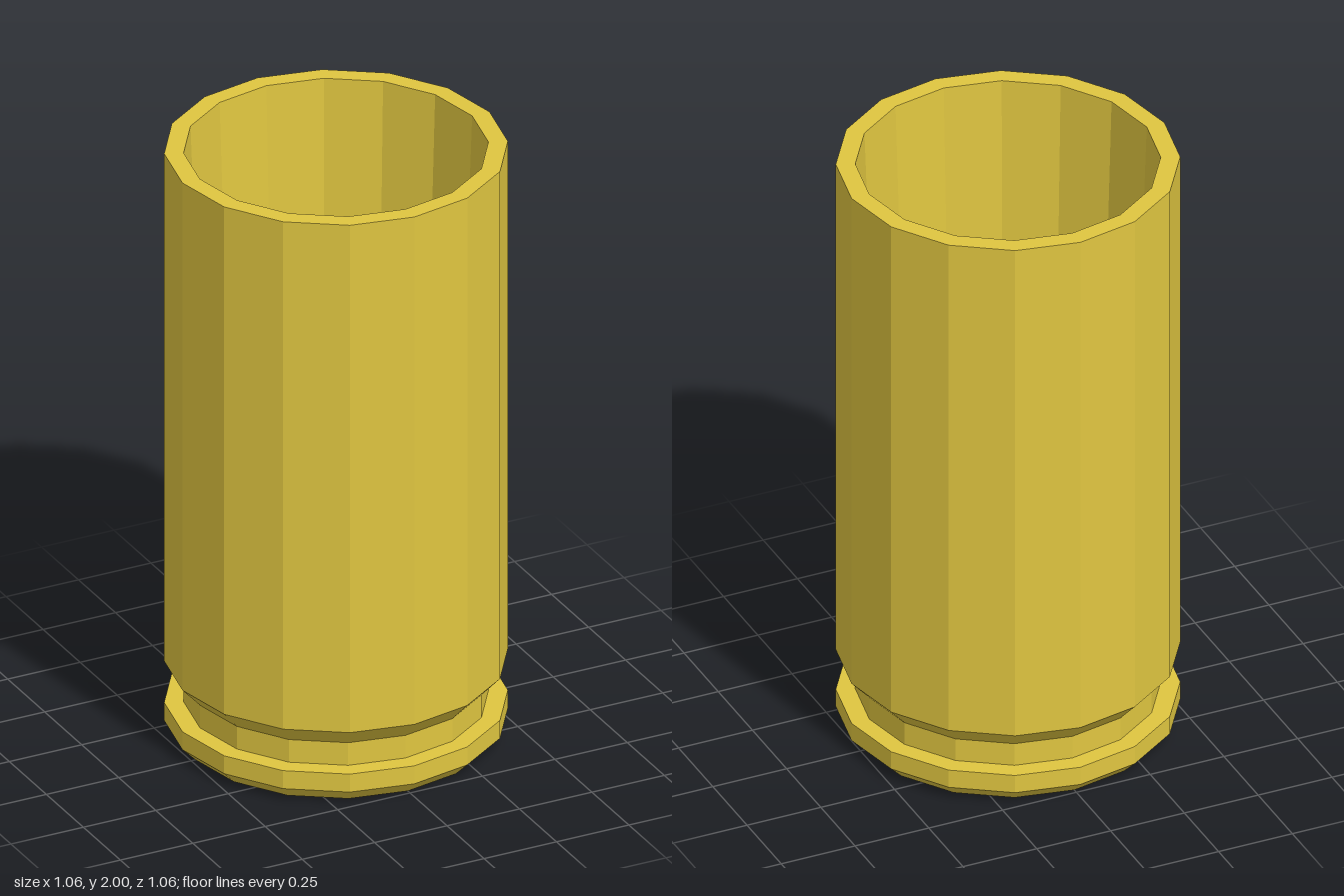
import * as THREE from 'three';

const SIDES = 16;

// Faceted turned part from [radius, height] pairs, listed from the underside outward and up
function turned(name, profile, color) {
  const points = profile.map(([r, y]) => new THREE.Vector2(r, y));
  const mesh = new THREE.Mesh(
    new THREE.LatheGeometry(points, SIDES),
    new THREE.MeshStandardMaterial({ color, flatShading: true })
  );
  mesh.name = name;
  return mesh;
}

export function createModel() {
  const group = new THREE.Group();
  group.name = 'cartridgeCase';

  group.add(turned('caseBody', [
    // pocket in the underside
    [0, 0.05], [0.365, 0.05], [0.365, 0],
    // bevelled rim
    [0.485, 0], [0.53, 0.045], [0.53, 0.107],
    // extractor groove
    [0.47, 0.107], [0.47, 0.185], [0.53, 0.25],
    // outer wall and mouth
    [0.53, 2], [0.47, 2],
    // tapering inner wall, sloped floor edge and flat floor
    [0.41, 0.35], [0.262, 0.27], [0, 0.27],
  ], 0xe0c640));

  // Bevelled primer cap set in the pocket
  group.add(turned('primer', [
    [0, 0], [0.315, 0], [0.36, 0.03], [0.36, 0.05],
  ], 0xcccccc));

  return group;
}
